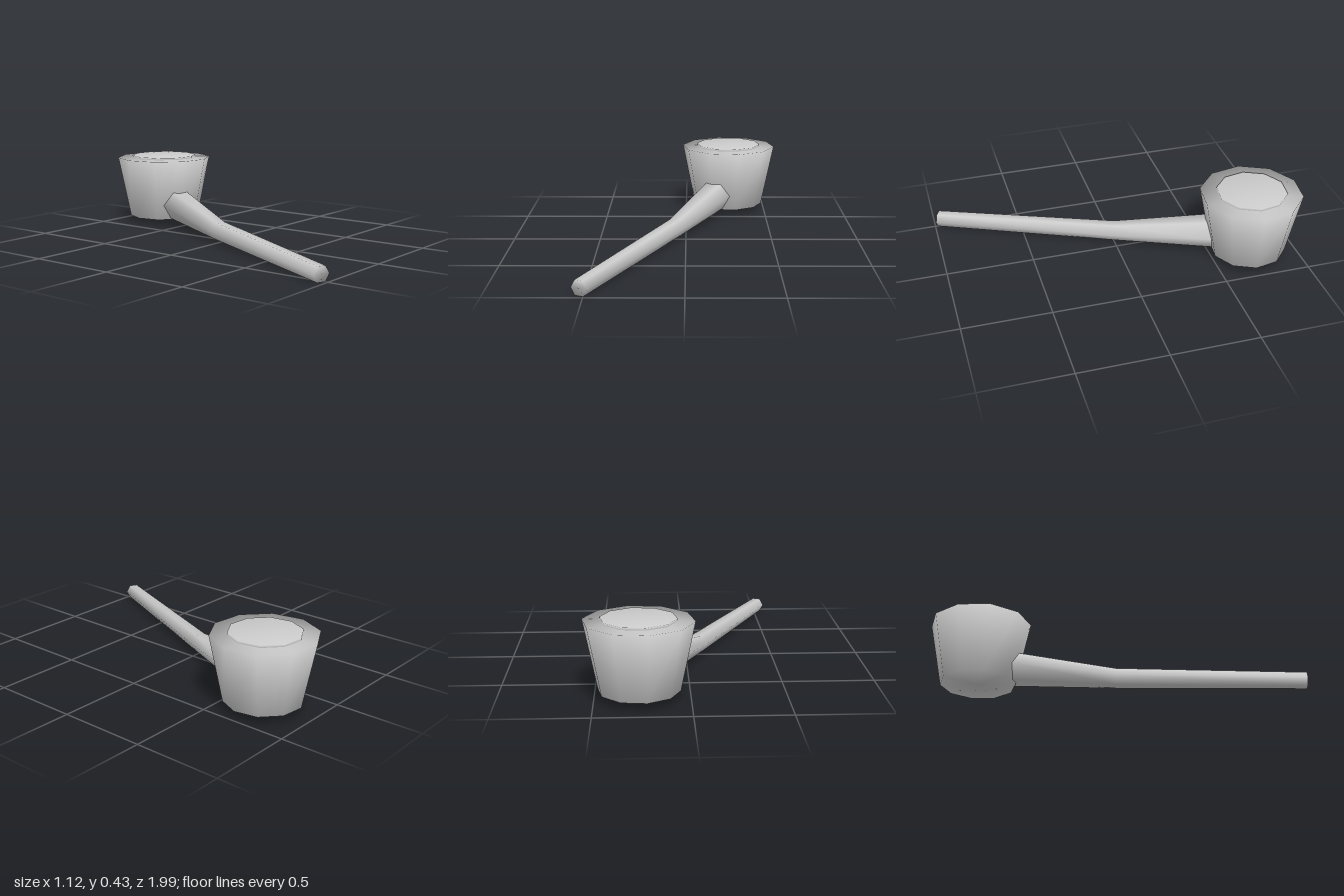
import * as THREE from 'three';
import { mergeVertices } from 'three/addons/utils/BufferGeometryUtils.js';

const SIDES = 10;
const TURN = THREE.MathUtils.degToRad(11);

// Ten-sided tapered solid with normals shared across its edges
function smoothDrum(topRadius, bottomRadius, height) {
  const drum = new THREE.CylinderGeometry(topRadius, bottomRadius, height, SIDES, 1, false, TURN);
  drum.deleteAttribute('uv');
  drum.deleteAttribute('normal');
  const merged = mergeVertices(drum, 1e-4);
  merged.computeVertexNormals();
  return merged;
}

// Hexagonal tube through upright cross-sections, closed at both ends
function hexTube(sections) {
  const n = 6, positions = [], index = [];
  for (const { center: [x, y, z], radius } of sections) {
    for (let j = 0; j < n; j++) {
      const a = (j / n) * Math.PI * 2;
      const across = radius * Math.cos(a);
      positions.push(x + 0.9 * across, y + radius * Math.sin(a), z + 0.43 * across);
    }
  }
  for (let i = 0; i < sections.length - 1; i++) {
    for (let j = 0; j < n; j++) {
      const a = i * n + j, b = i * n + (j + 1) % n;
      index.push(a, a + n, b, b, a + n, b + n);
    }
  }
  const last = (sections.length - 1) * n;
  for (let j = 1; j < n - 1; j++) {
    index.push(0, j, j + 1);
    index.push(last, last + j + 1, last + j);
  }
  const geometry = new THREE.BufferGeometry();
  geometry.setAttribute('position', new THREE.Float32BufferAttribute(positions, 3));
  geometry.setIndex(index);
  geometry.computeVertexNormals();
  return geometry;
}

export function createModel() {
  const model = new THREE.Group();
  model.name = 'pipe';
  const grey = new THREE.MeshStandardMaterial({ color: 0xcccccc });
  grey.name = 'light grey';

  const add = (name, geometry, x = 0, y = 0, z = 0) => {
    const mesh = new THREE.Mesh(geometry, grey);
    mesh.name = name;
    mesh.position.set(x, y, z);
    model.add(mesh);
  };

  // Bowl and the thin disc filling its mouth
  add('bowl', smoothDrum(0.291, 0.216, 0.372), 0.267, 0.231, -0.713);
  add('filling', smoothDrum(0.199, 0.199, 0.03), 0.267, 0.415, -0.715);

  // Stem, from mouthpiece to bowl
  add('stem', hexTube([
    { center: [-0.52, 0.044, 0.975], radius: 0.047 },
    { center: [-0.066, 0.072, 0.0], radius: 0.057 },
    { center: [0.184, 0.138, -0.53], radius: 0.098 },
  ]));

  return model;
}
